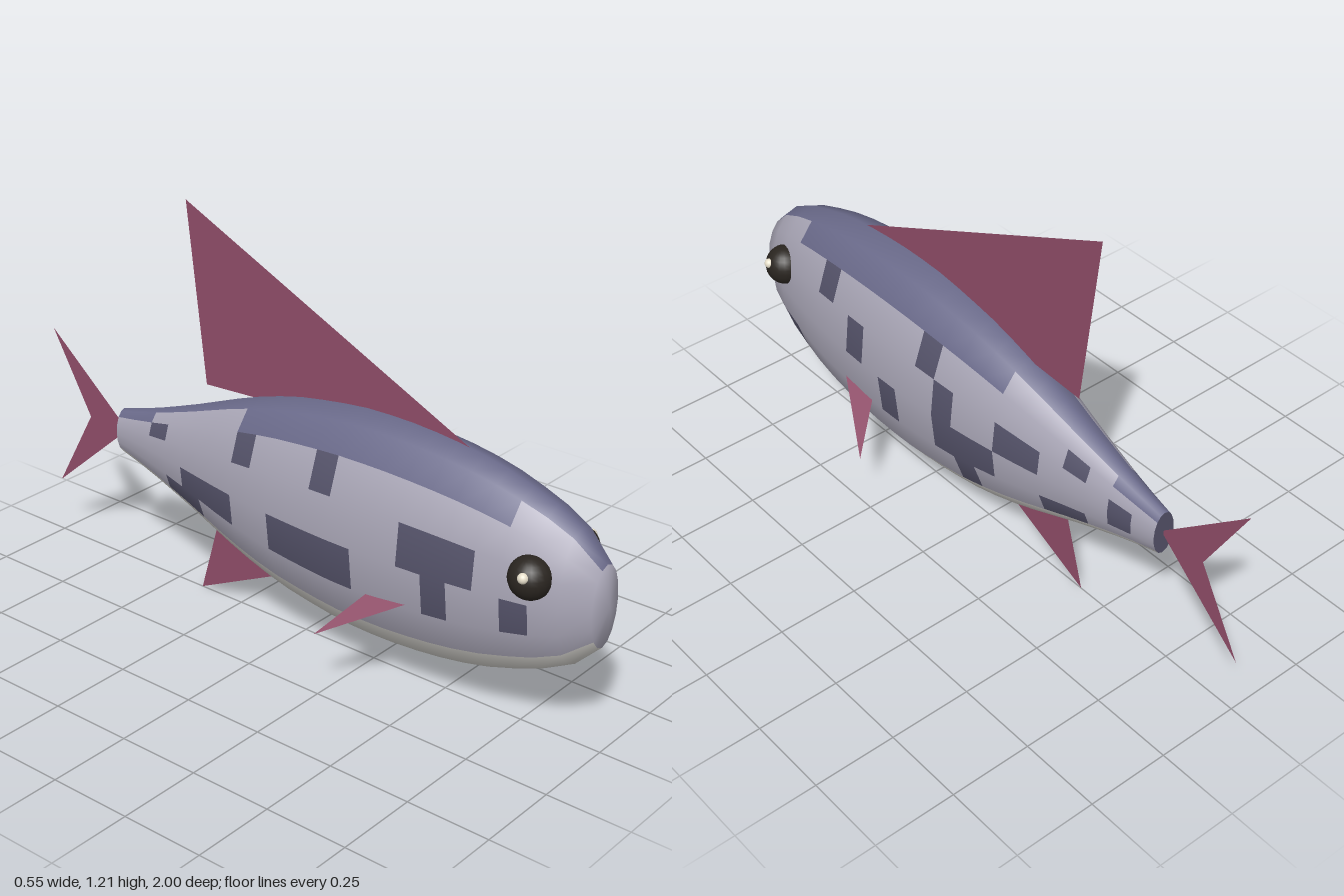
import * as THREE from 'three';

const mat = (color, extra = {}) => new THREE.MeshStandardMaterial({ color, ...extra });
const SIDES = 16, MID = 0.43, FLAT = 0.52, Z0 = 0.985, STEP = 0.077;

// Half height of the body at each ring, nose to tail
const HALF = [0.12, 0.197, 0.238, 0.266, 0.29, 0.307, 0.319, 0.327, 0.332, 0.333, 0.331, 0.323,
  0.312, 0.299, 0.28, 0.257, 0.23, 0.2, 0.17, 0.142, 0.115, 0.091, 0.07];

// Dark patches per flank: row around the body -> cells along it
const PATCHES = {
  left: { 2: [5, 11, 18], 3: [7, 12, 15, 16, 20], 4: [9, 12, 13, 14, 20], 5: [2, 13, 17, 18] },
  right: { 2: [10, 14, 19], 3: [4, 5, 6], 4: [2, 5, 9, 10, 11, 12, 15, 16, 17], 5: [17, 18] },
};

// Which coloured skin a cell belongs to
function skinOf(i, j) {
  const flank = j < SIDES / 2 ? 'left' : 'right';
  const row = flank === 'left' ? j : SIDES - 1 - j;
  if (row === 0 || (row === 1 && ((i >= 3 && i < 15) || i >= 20))) return 'back';
  if (row >= 6) return 'belly';
  return PATCHES[flank][row]?.includes(i) ? 'patches' : 'flanks';
}

// Lofted body: one smooth surface split into coloured skins
function makeBody() {
  const body = new THREE.Group();
  body.name = 'body';
  const positions = [];
  HALF.forEach((h, i) => {
    for (let j = 0; j < SIDES; j++) {
      const a = (j / SIDES) * Math.PI * 2;
      positions.push(Math.sin(a) * h * FLAT, MID + Math.cos(a) * h, Z0 - STEP * i);
    }
  });
  const apex = positions.length / 3;
  positions.push(0, MID, 1);

  const skins = { back: [], flanks: [], belly: [], patches: [] };
  const at = (i, j) => i * SIDES + (j % SIDES);
  for (let j = 0; j < SIDES; j++) {
    skins.flanks.push(apex, at(0, j + 1), at(0, j)); // blunt nose
    for (let i = 0; i < HALF.length - 1; i++) {
      skins[skinOf(i, j)].push(
        at(i, j), at(i, j + 1), at(i + 1, j),
        at(i, j + 1), at(i + 1, j + 1), at(i + 1, j));
    }
  }
  const whole = new THREE.BufferGeometry();
  whole.setAttribute('position', new THREE.Float32BufferAttribute(positions, 3));
  whole.setIndex(Object.values(skins).flat());
  whole.computeVertexNormals();

  const colors = { back: 0x6a6a8a, flanks: 0xa9a6b6, belly: 0xcfcdc8, patches: 0x55536a };
  for (const [name, index] of Object.entries(skins)) {
    const g = new THREE.BufferGeometry();
    g.setAttribute('position', whole.attributes.position);
    g.setAttribute('normal', whole.attributes.normal);
    g.setIndex(index);
    const mesh = new THREE.Mesh(g, mat(colors[name]));
    mesh.name = name;
    body.add(mesh);
  }

  // Flat end where the tail fin joins
  const h = HALF[HALF.length - 1];
  const end = new THREE.Mesh(new THREE.CircleGeometry(1, SIDES), mat(colors.patches));
  end.name = 'tailEnd';
  end.scale.set(h * FLAT, h, 1);
  end.rotation.y = Math.PI;
  end.position.set(0, MID, Z0 - STEP * (HALF.length - 1));
  body.add(end);
  return body;
}

// Thin fin from a fan of corners
function makeFin(name, corners) {
  const g = new THREE.BufferGeometry();
  const tris = [];
  for (let k = 1; k < corners.length - 1; k++) tris.push(...corners[0], ...corners[k], ...corners[k + 1]);
  g.setAttribute('position', new THREE.Float32BufferAttribute(tris, 3));
  g.computeVertexNormals();
  const fin = new THREE.Mesh(g, mat(0x8f4d68, { side: THREE.DoubleSide }));
  fin.name = name;
  return fin;
}

function makeBall(name, radius, color, x, y, z) {
  const ball = new THREE.Mesh(new THREE.SphereGeometry(radius, 20, 14), mat(color));
  ball.name = name;
  ball.position.set(x, y, z);
  return ball;
}

export function createModel() {
  const fish = new THREE.Group();
  fish.name = 'fish';
  fish.add(makeBody());

  // Fins on the centre line
  fish.add(makeFin('dorsalFin', [[0, 0.722, 0.6], [0, 1.21, -0.435], [0, 0.67, -0.37]]));
  fish.add(makeFin('ventralFin', [[0, 0.19, 0], [0, 0.24, -0.335], [0, 0, -0.405]]));
  fish.add(makeFin('tailFin', [[0, MID, -0.7], [0, 0.685, -1], [0, MID, -0.855], [0, 0.175, -1]]));

  // Paired fins and eyes
  for (const [side, s] of [['left', 1], ['right', -1]]) {
    fish.add(makeFin(side + 'PectoralFin',
      [[s * 0.155, 0.32, 0.475], [s * 0.155, 0.31, 0.345], [s * 0.275, 0.2, 0.255]]));
    fish.add(makeBall(side + 'Eye', 0.06, 0x2a2520, s * 0.108, 0.505, 0.828));
    fish.add(makeBall(side + 'EyeGlint', 0.015, 0xe8e0cc, s * 0.158, 0.525, 0.838));
  }
  return fish;
}
